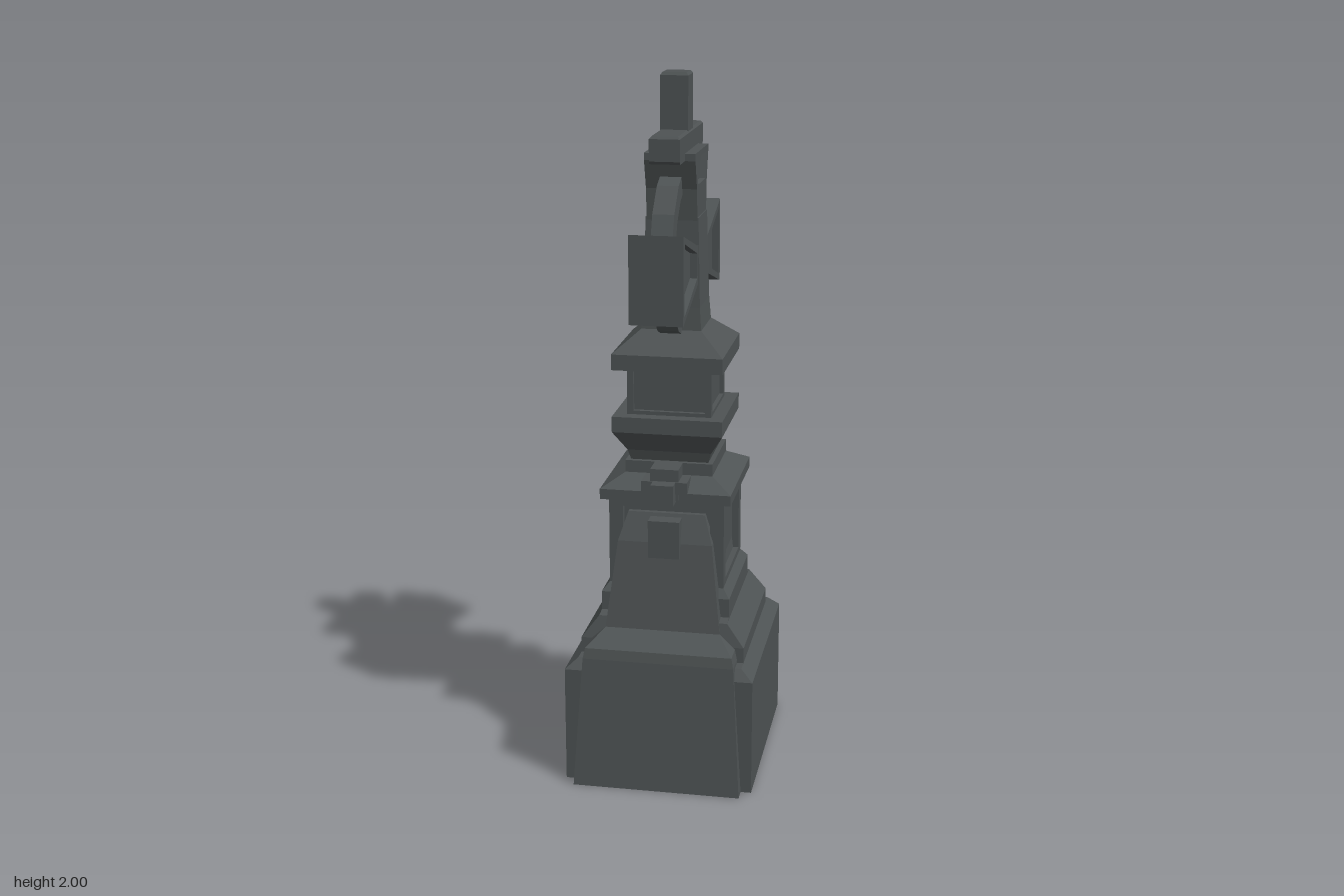
import * as THREE from 'three';

const stone = new THREE.MeshStandardMaterial({ color: 0x4e5354, side: THREE.DoubleSide });
stone.name = 'dark stone';

// Stacked rectangular sections: rows of [y, half width x, half depth z]
function loft(rows, openBottom = false) {
  const pos = [];
  const ring = ([y, a, b]) => [[a, y, b], [a, y, -b], [-a, y, -b], [-a, y, b]];
  const quad = (a, b, c, d) => pos.push(...a, ...b, ...c, ...a, ...c, ...d);
  for (let i = 0; i < rows.length - 1; i++) {
    const lo = ring(rows[i]), hi = ring(rows[i + 1]);
    for (let k = 0; k < 4; k++) {
      const n = (k + 1) % 4;
      quad(lo[k], lo[n], hi[n], hi[k]);
    }
  }
  quad(...ring(rows[rows.length - 1]));
  if (!openBottom) quad(...ring(rows[0]).reverse());
  const g = new THREE.BufferGeometry();
  g.setAttribute('position', new THREE.Float32BufferAttribute(pos, 3));
  g.computeVertexNormals();
  return g;
}

const points = (list) => list.map(([x, y]) => new THREE.Vector2(x, y));

// Extruded outline with an optional opening, centred on z = 0
function slab(outline, hole, depth) {
  const s = new THREE.Shape(points(outline));
  if (hole) s.holes.push(new THREE.Path(points(hole)));
  return new THREE.ExtrudeGeometry(s, { depth, bevelEnabled: false }).translate(0, 0, -depth / 2);
}

const rect = (w, y0, y1) => [[-w, y0], [w, y0], [w, y1], [-w, y1]];

export function createModel() {
  const model = new THREE.Group();
  model.name = 'stoneCrossMonument';
  const add = (name, geometry, parent = model) => {
    const m = new THREE.Mesh(geometry, stone);
    m.name = name;
    parent.add(m);
    return m;
  };
  const box = (name, w, y0, y1, z0, z1) =>
    add(name, new THREE.BoxGeometry(2 * w, y1 - y0, z1 - z0).translate(0, (y0 + y1) / 2, (z0 + z1) / 2));

  // Hollow plinth with stepped sides
  add('plinthSides', loft([[0, 0.27, 0.30], [0.34, 0.27, 0.30], [0.37, 0.235, 0.275]], true));
  add('plinthSteps', loft([[0.36, 0.235, 0.235], [0.415, 0.235, 0.235], [0.48, 0.185, 0.22],
    [0.485, 0.185, 0.185], [0.54, 0.185, 0.185], [0.565, 0.165, 0.165]], true));

  // Tapered buttress running through front and back
  add('buttress', loft([[0, 0.24, 0.34], [0.38, 0.216, 0.306], [0.41, 0.21, 0.30],
    [0.45, 0.165, 0.23], [0.70, 0.135, 0.19], [0.78, 0.11, 0.16]], true));

  // Panelled shafts: a core with a recessed frame on each side
  const panelled = (name, w, y0, y1, rim, depth) => {
    const group = new THREE.Group();
    group.name = name;
    model.add(group);
    add('core', loft([[y0, w - depth, w - depth], [y1, w - depth, w - depth]]), group);
    for (let k = 0; k < 4; k++) {
      const g = slab(rect(w, y0, y1), rect(w - rim, y0 + rim * 0.6, y1 - rim * 0.6), depth);
      add('panelFrame', g.translate(0, 0, w - depth / 2).rotateY(k * Math.PI / 2), group);
    }
  };
  panelled('lowerPanels', 0.165, 0.56, 0.82, 0.04, 0.02);
  panelled('upperPanels', 0.12, 1.055, 1.19, 0.018, 0.012);

  // Mouldings
  add('lowerCornice', loft([[0.82, 0.187, 0.187], [0.85, 0.187, 0.187], [0.885, 0.125, 0.125],
    [0.92, 0.125, 0.125]]));
  add('neckMoulding', loft([[0.90, 0.105, 0.105], [0.95, 0.12, 0.12], [1.01, 0.157, 0.157],
    [1.055, 0.157, 0.157]]));
  add('upperCornice', loft([[1.19, 0.157, 0.157], [1.235, 0.157, 0.157], [1.295, 0.085, 0.085]]));

  // Bracket and pendant on front and back
  for (const s of [1, -1]) {
    const span = (a, b) => (s > 0 ? [a, b] : [-b, -a]);
    box('pendant', 0.045, 0.66, 0.77, ...span(0.15, 0.208));
    box('bracketBlock', 0.04, 0.83, 0.92, ...span(0.11, 0.195));
    box('bracketBar', 0.065, 0.85, 0.885, ...span(0.12, 0.2));
    box('bracketEnd', 0.032, 0.825, 0.885, ...span(0.15, 0.235));
  }

  // Cross shaft and flared upper arm
  add('crossShaft', loft([[1.29, 0.085, 0.085], [1.36, 0.08, 0.08], [1.48, 0.077, 0.075],
    [1.61, 0.074, 0.072]]));
  const top = [[-0.072, 1.60], [0.072, 1.60], [0.08, 1.69], [0.106, 1.77], [0.106, 1.79],
    [-0.106, 1.79], [-0.106, 1.77], [-0.08, 1.69]];
  const topHole = [[-0.06, 1.70], [0.06, 1.70], [0.082, 1.772], [-0.082, 1.772]];
  add('upperArmFrame', slab(top, topHole, 0.142).rotateY(-Math.PI / 2));
  add('upperArmCore', slab(top, null, 0.11).scale(0.98, 1, 1).rotateY(-Math.PI / 2));

  // Flared side arms with sunken panels
  const arm = [[0.05, 1.43], [0.085, 1.425], [0.295, 1.362], [0.31, 1.358],
    [0.31, 1.602], [0.295, 1.598], [0.085, 1.535], [0.05, 1.53]];
  const armHole = [[0.09, 1.445], [0.288, 1.382], [0.288, 1.578], [0.09, 1.515]];
  const armCore = [[0.05, 1.44], [0.3, 1.37], [0.3, 1.59], [0.05, 1.52]];
  for (const turn of [-1, 1]) {
    add('sideArmFrame', slab(arm, armHole, 0.148).rotateY(turn * Math.PI / 2));
    add('sideArmCore', slab(armCore, null, 0.108).rotateY(turn * Math.PI / 2));
  }

  // Faceted ring behind the arms
  const circle = (r) => Array.from({ length: 16 }, (_, i) => {
    const a = (i + 0.5) * Math.PI / 8;
    return [r * Math.cos(a), 1.505 + r * Math.sin(a)];
  });
  add('ring', slab(circle(0.242), circle(0.188), 0.06).rotateY(-Math.PI / 2));

  // Small crowning cross with bevelled bar
  add('crownPost', loft([[1.78, 0.039, 0.039], [1.992, 0.039, 0.039], [2.0, 0.033, 0.033]]));
  add('crownBar', loft([[1.77, 0.042, 0.178], [1.778, 0.042, 0.185], [1.838, 0.042, 0.185],
    [1.845, 0.036, 0.178]]));

  return model;
}
